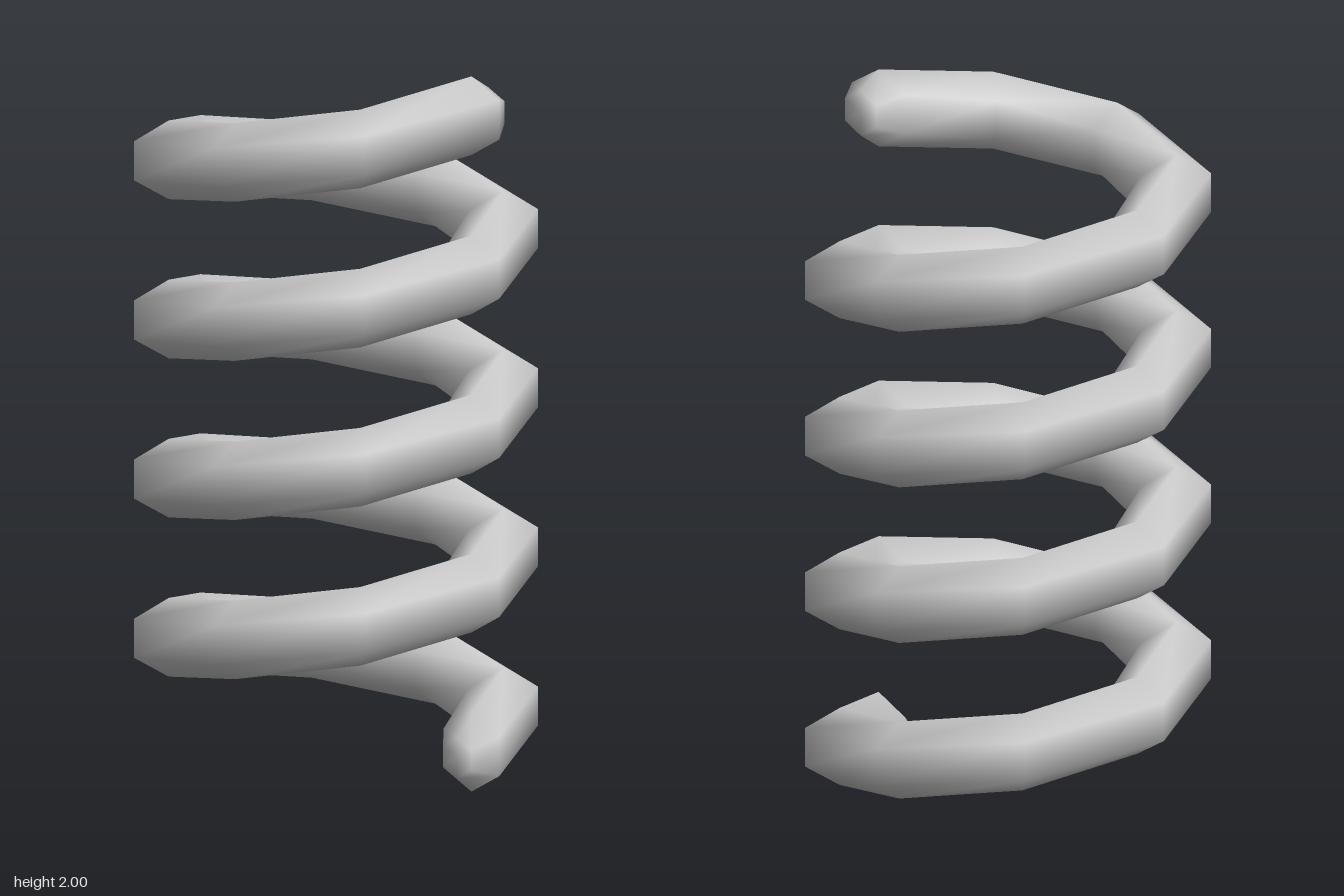
import * as THREE from 'three';

const TURNS = 4, STEPS = 8, SIDES = 6;
const COIL_R = 0.463, WIRE_R = 0.11, BOTTOM = 0.11, TOP = 1.89;

export function createModel() {
  const positions = [], indices = [];

  // Hexagonal section in the vertical plane at the given angle round the axis,
  // pushed along the coil's direction of travel by "along"
  const addRing = (angle, y, radius, along = 0) => {
    const c = Math.cos(angle), s = -Math.sin(angle);
    for (let j = 0; j < SIDES; j++) {
      const phi = (j / SIDES) * Math.PI * 2;
      const r = COIL_R + radius * Math.sin(phi);
      positions.push(r * c + along * s, y + radius * Math.cos(phi), r * s - along * c);
    }
  };

  // Chamfered lower end, coil sections, chamfered upper end
  const count = TURNS * STEPS;
  addRing(0, BOTTOM - 0.006, 0.056, -0.065);
  for (let i = 0; i <= count; i++) {
    addRing((i / STEPS) * Math.PI * 2, BOTTOM + (TOP - BOTTOM) * i / count, WIRE_R);
  }
  addRing(0, TOP + 0.003, 0.064, 0.077);

  // Skin between neighbouring sections
  const rings = count + 3;
  for (let i = 0; i < rings - 1; i++) {
    for (let j = 0; j < SIDES; j++) {
      const k = (j + 1) % SIDES;
      const a = i * SIDES + j, b = i * SIDES + k;
      const c = a + SIDES, d = b + SIDES;
      indices.push(a, b, c, b, d, c);
    }
  }

  // Close both ends
  const first = rings * SIDES, last = (rings - 1) * SIDES;
  positions.push(COIL_R, BOTTOM - 0.006, 0.065, COIL_R, TOP + 0.003, -0.077);
  for (let j = 0; j < SIDES; j++) {
    const k = (j + 1) % SIDES;
    indices.push(first, k, j, first + 1, last + j, last + k);
  }

  const geometry = new THREE.BufferGeometry();
  geometry.setAttribute('position', new THREE.Float32BufferAttribute(positions, 3));
  geometry.setIndex(indices);
  geometry.computeVertexNormals();

  const coil = new THREE.Mesh(geometry, new THREE.MeshStandardMaterial({ color: 0xcccccc }));
  coil.name = 'springCoil';
  const group = new THREE.Group();
  group.name = 'spring';
  group.add(coil);
  return group;
}
